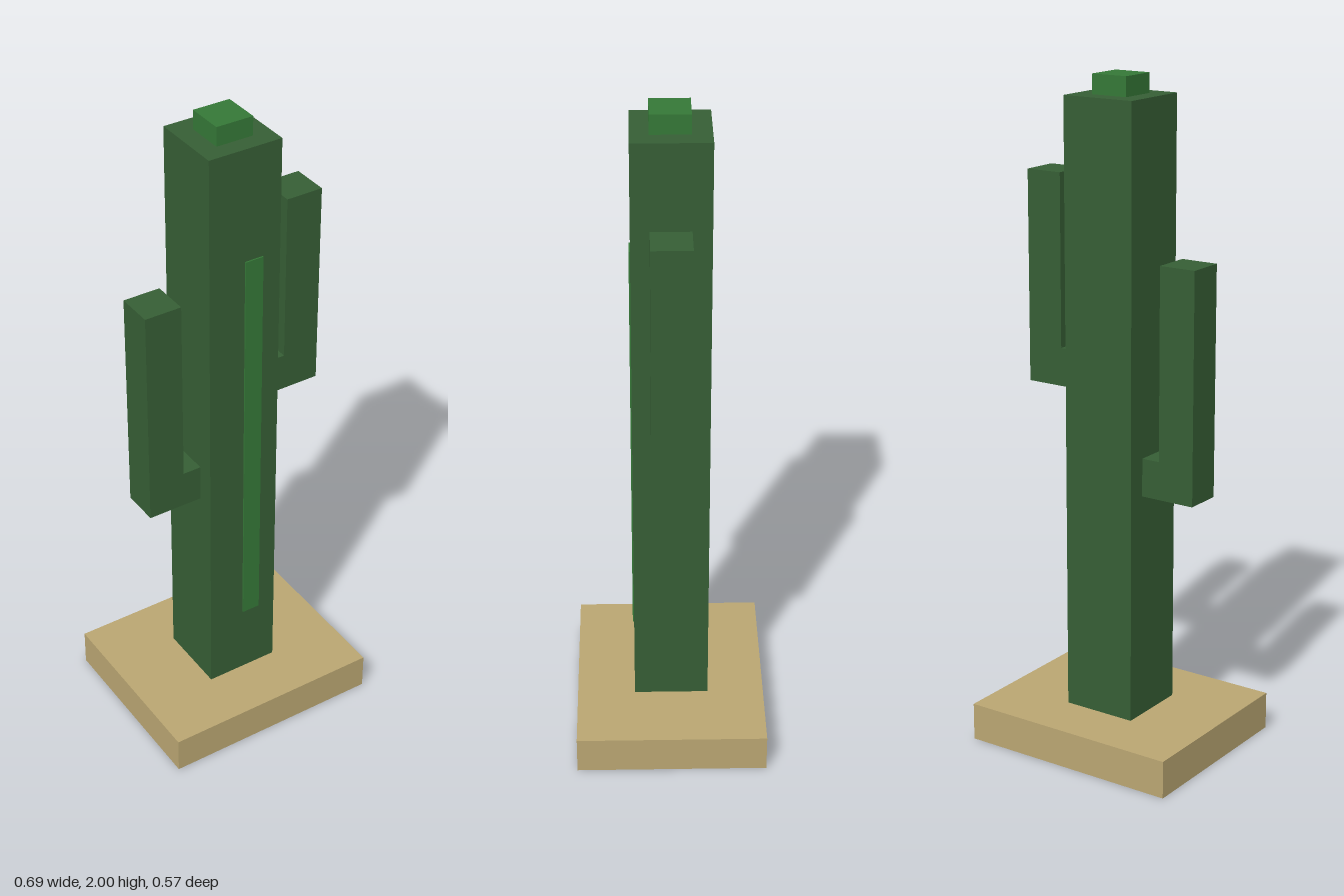
import * as THREE from 'three';

const U = 2 / 35; // modelling unit: the whole cactus is 35 units tall

const cactusGreen = new THREE.MeshStandardMaterial({ color: 0x365e35 });
cactusGreen.name = 'cactusGreen';
const brightGreen = new THREE.MeshStandardMaterial({ color: 0x357837 });
brightGreen.name = 'brightGreen';
const sand = new THREE.MeshStandardMaterial({ color: 0xbaa672, side: THREE.DoubleSide });
sand.name = 'sand';

// Box given by its minimum and maximum corners, optionally without its underside
function block(name, material, min, max, openBottom = false) {
  const size = max.map((v, i) => v - min[i]);
  const geometry = new THREE.BoxGeometry(...size);
  if (openBottom) {
    const index = Array.from(geometry.index.array);
    index.splice(18, 6);
    geometry.setIndex(index);
    geometry.clearGroups();
  }
  const mesh = new THREE.Mesh(geometry, material);
  mesh.name = name;
  mesh.position.set(...max.map((v, i) => (v + min[i]) / 2));
  return mesh;
}

// L-shaped arm: a short elbow leaving the trunk, then an upright; side is +1 or -1
function arm(name, side, bottom, top) {
  const outline = [[2, bottom], [5, bottom], [5, top], [3, top], [3, bottom + 2], [2, bottom + 2]];
  const shape = new THREE.Shape(outline.map(([x, y]) => new THREE.Vector2(side * x * U, y * U)));
  const geometry = new THREE.ExtrudeGeometry(shape, { depth: 2 * U, bevelEnabled: false });
  geometry.translate(0, 0, -U);
  const mesh = new THREE.Mesh(geometry, cactusGreen);
  mesh.name = name;
  return mesh;
}

export function createModel() {
  const model = new THREE.Group();
  model.name = 'cactus';
  const trunkFront = 0.11;

  model.add(
    // Hollow sandy base, open underneath
    block('base', sand, [-6 * U, 0, -5 * U], [6 * U, 2 * U, 5 * U], true),
    // Trunk, bright cap and thin front rib
    block('trunk', cactusGreen, [-2 * U, 2 * U, -2 * U], [2 * U, 34 * U, trunkFront], true),
    block('cap', brightGreen, [-U, 34 * U, -U], [U, 35 * U, U]),
    block('frontRib', brightGreen, [0, 6 * U, trunkFront], [U, 28 * U, 2 * U]),
    // Arms at different heights
    arm('leftArm', 1, 19, 30),
    arm('rightArm', -1, 14, 26)
  );
  return model;
}
